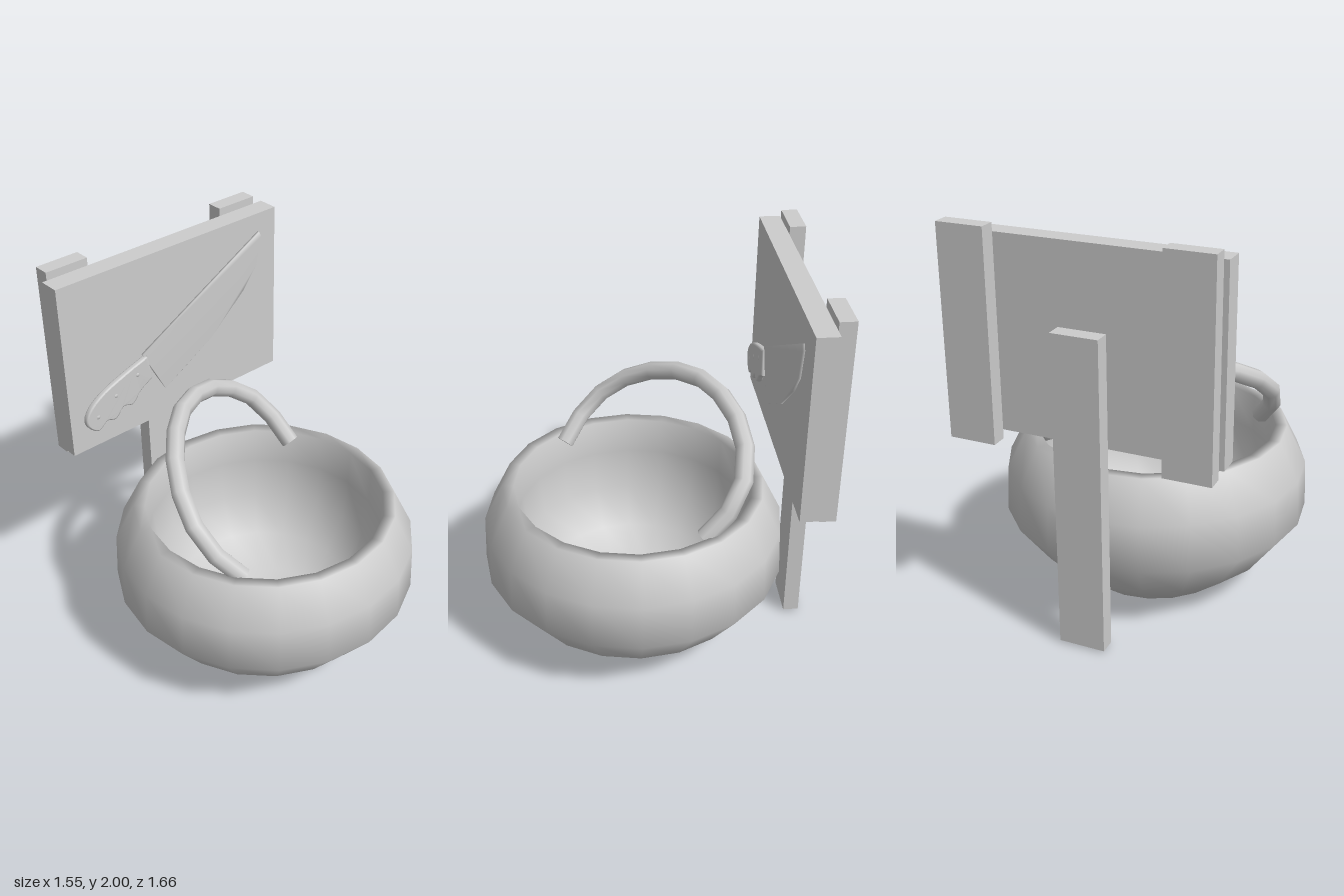
import * as THREE from 'three';
import { mergeVertices } from 'three/addons/utils/BufferGeometryUtils.js';

const grey = new THREE.MeshStandardMaterial({ color: 0xcccccc });
grey.name = 'grey';

function add(parent, name, geometry, x = 0, y = 0, z = 0) {
  const mesh = new THREE.Mesh(geometry, grey);
  mesh.name = name;
  mesh.position.set(x, y, z);
  parent.add(mesh);
  return mesh;
}

// Box given by its lower and upper limits on each axis
function plank(parent, name, [x0, x1], [y0, y1], [z0, z1]) {
  add(parent, name, new THREE.BoxGeometry(x1 - x0, y1 - y0, z1 - z0),
    (x0 + x1) / 2, (y0 + y1) / 2, (z0 + z1) / 2);
}

// Thin extrusion shaded smoothly over its edges
function smoothPlate(shape, options) {
  const plate = new THREE.ExtrudeGeometry(shape, options);
  plate.deleteAttribute('normal');
  plate.deleteAttribute('uv');
  const merged = mergeVertices(plate);
  merged.computeVertexNormals();
  return merged;
}

const vectors = (points) => points.map(([x, y]) => new THREE.Vector2(x, y));

export function createModel() {
  const model = new THREE.Group();
  model.name = 'cauldronAndBoard';

  // Round pot: outer wall, rim lip and steep inner bowl in one profile
  const profile = vectors([
    [0, 0], [0.4, 0], [0.62, 0.18], [0.775, 0.385], [0.765, 0.62], [0.665, 0.82],
    [0.607, 0.818], [0.604, 0.62], [0.58, 0.40], [0.47, 0.20], [0.30, 0.08], [0, 0.04],
  ]);
  add(model, 'pot', new THREE.LatheGeometry(profile, 20, -0.02), 0, 0, 0.055);

  // Arched carrying handle, leaning back
  const arch = new THREE.CatmullRomCurve3([
    [-0.45, 0.79, 0.39], [-0.55, 0.94, 0.27], [-0.555, 1.08, 0.12], [-0.475, 1.19, -0.05],
    [-0.37, 1.25, -0.18], [-0.22, 1.277, -0.31], [-0.04, 1.255, -0.405], [0.14, 1.185, -0.462],
    [0.31, 1.08, -0.462], [0.415, 0.97, -0.41], [0.45, 0.88, -0.34], [0.468, 0.79, -0.25],
  ].map((p) => new THREE.Vector3(...p)));
  const handle = new THREE.Group();
  handle.name = 'potHandle';
  model.add(handle);
  add(handle, 'handleArch', new THREE.TubeGeometry(arch, 12, 0.047, 8));
  for (const [t, sign] of [[0, -1], [1, 1]]) {
    const cap = add(handle, 'handleEnd', new THREE.CircleGeometry(0.047, 8));
    cap.position.copy(arch.getPoint(t));
    cap.quaternion.setFromUnitVectors(
      new THREE.Vector3(0, 0, 1), arch.getTangent(t).multiplyScalar(sign));
  }

  // Board with its post and two slats on the back
  plank(model, 'board', [-0.655, 0.705], [1.03, 1.96], [-0.75, -0.645]);
  plank(model, 'post', [-0.11, 0.12], [0.01, 1.57], [-0.83, -0.75]);
  plank(model, 'leftSlat', [0.42, 0.65], [0.985, 2], [-0.83, -0.75]);
  plank(model, 'rightSlat', [-0.63, -0.40], [0.985, 2], [-0.83, -0.75]);

  // Knife on the front of the board
  const knife = new THREE.Group();
  knife.name = 'knife';
  model.add(knife);
  const blade = new THREE.Shape(vectors([
    [-0.21, 1.45], [-0.14, 1.31], [-0.08, 1.20], [0.03, 1.26], [0.24, 1.38],
    [0.46, 1.57], [0.555, 1.69], [0.59, 1.84], [0.575, 1.87],
  ]));
  add(knife, 'blade', smoothPlate(blade, { depth: 0.012, bevelEnabled: false }), 0, 0, -0.632);

  // Grip with finger notches below
  const grip = new THREE.Shape();
  grip.moveTo(-0.195, 1.43);
  grip.splineThru(vectors([[-0.32, 1.39], [-0.46, 1.335], [-0.55, 1.27], [-0.575, 1.20],
    [-0.52, 1.145], [-0.465, 1.18], [-0.41, 1.17], [-0.36, 1.22], [-0.30, 1.21],
    [-0.25, 1.265], [-0.175, 1.31]]));
  add(knife, 'grip', smoothPlate(grip, {
    depth: 0.014, curveSegments: 24, bevelThickness: 0.009, bevelSize: 0.008, bevelSegments: 2,
  }), 0, 0, -0.630);
  for (const [x, y] of [[-0.515, 1.22], [-0.40, 1.295], [-0.26, 1.36]]) {
    add(knife, 'rivet', new THREE.SphereGeometry(0.02, 10, 8), x, y, -0.623);
  }
  return model;
}
